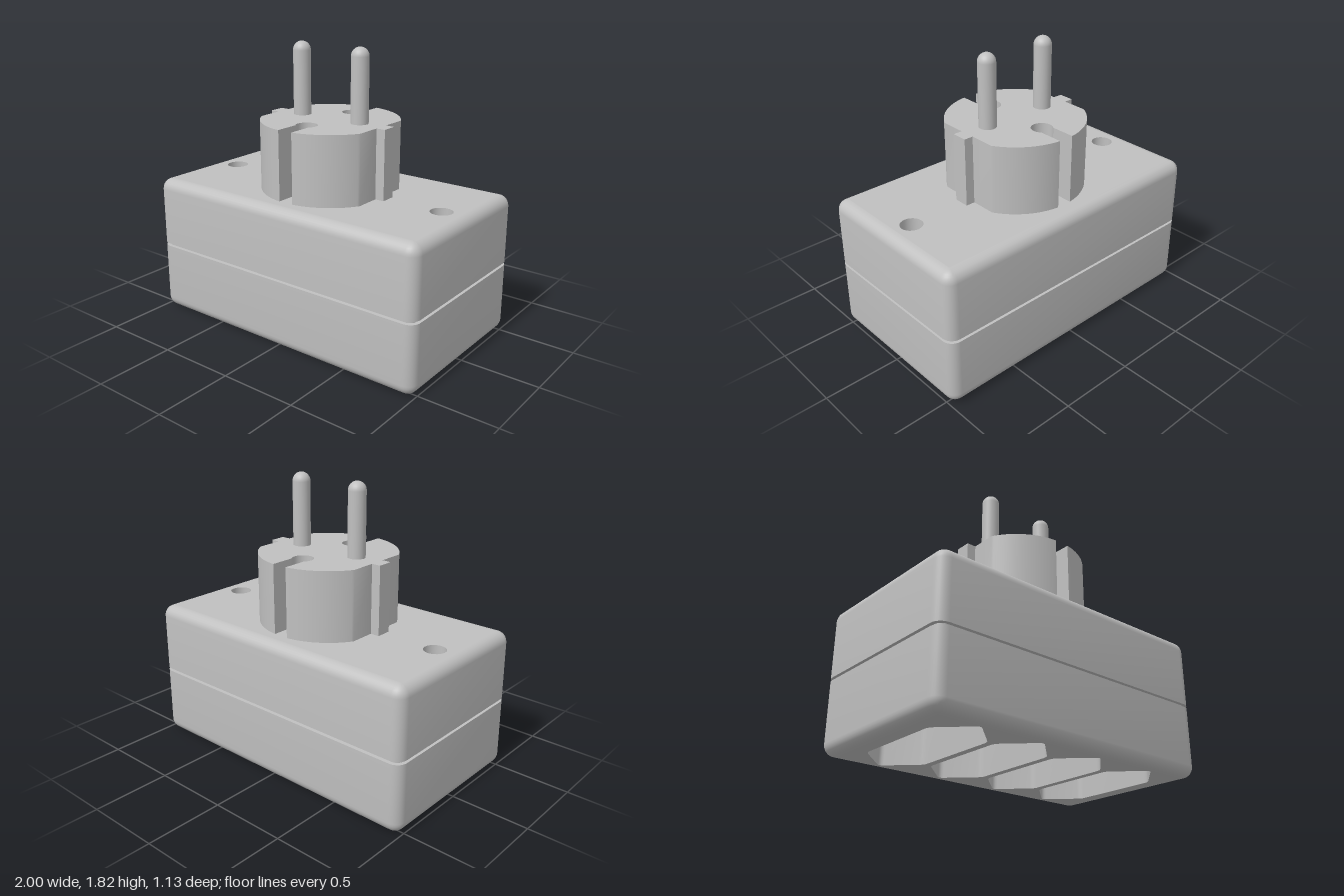
import * as THREE from 'three';
import { toCreasedNormals } from 'three/addons/utils/BufferGeometryUtils.js';

const TOP = 0.912, PLUG_TOP = 1.355, HALF_X = 1, HALF_Z = 0.565, R = 0.07;
const V2 = (x, y) => new THREE.Vector2(x, y);

// Counter-clockwise circle
function circle(cx, cy, r, n = 24) {
  return Array.from({ length: n }, (_, i) => {
    const a = (i / n) * Math.PI * 2;
    return V2(cx + r * Math.cos(a), cy + r * Math.sin(a));
  });
}

// Rounded rectangle of the case, shrunk by an inset
function caseRing(inset) {
  const r = Math.max(R - inset, 0.002), n = 7, pts = [];
  const cx = HALF_X - inset - r, cz = HALF_Z - inset - r;
  [[1, 1], [-1, 1], [-1, -1], [1, -1]].forEach(([sx, sz], q) => {
    for (let i = 0; i <= n; i++) {
      const a = (q + i / n) * Math.PI / 2;
      pts.push(V2(sx * cx + r * Math.cos(a), sz * cz + r * Math.sin(a)));
    }
  });
  return pts;
}

// Polygon whose corners are cut by a small curve
function softPolygon(corners, cut) {
  const pts = [];
  corners.forEach((c, i) => {
    const p = corners[(i + corners.length - 1) % corners.length], n = corners[(i + 1) % corners.length];
    const a = c.clone().add(p.clone().sub(c).setLength(cut));
    const b = c.clone().add(n.clone().sub(c).setLength(cut));
    pts.push(...new THREE.QuadraticBezierCurve(a, c, b).getPoints(4));
  });
  return pts;
}

// Walls through stacked rings: bottom to top faces outward, top to bottom faces inward
function loft(levels) {
  const n = levels[0].ring.length, pos = [], index = [];
  levels.forEach(({ ring, y }) => ring.forEach(p => pos.push(p.x, y, -p.y)));
  for (let l = 0; l < levels.length - 1; l++) {
    for (let i = 0; i < n; i++) {
      const a = l * n + i, b = l * n + (i + 1) % n;
      index.push(a, b, b + n, a, b + n, a + n);
    }
  }
  const g = new THREE.BufferGeometry();
  g.setAttribute('position', new THREE.Float32BufferAttribute(pos, 3));
  g.setIndex(index);
  g.computeVertexNormals();
  return toCreasedNormals(g, 0.6);
}

// Flat horizontal plate with holes, facing up or down
function plate(outline, y, holes = [], down = false) {
  const s = new THREE.Shape(outline);
  s.holes = holes.map(h => new THREE.Path(h));
  const g = new THREE.ShapeGeometry(s);
  g.rotateX(down ? Math.PI / 2 : -Math.PI / 2);
  return g.translate(0, y, 0);
}

// Plug outline: round body, flat sides with keys, and two keyhole slots
function plugOutline() {
  const r = 0.44, flat = 0.385, w = 0.05, slotR = 0.068;
  const a0 = Math.acos(flat / r), a1 = Math.acos(w / r), s = Math.acos(w / slotR);
  const half = new THREE.Path();
  half.moveTo(flat, -w);
  half.lineTo(0.445, -w);
  half.lineTo(0.445, w);
  half.lineTo(flat, w);
  half.absarc(0, 0, r, a0, a1, false);
  half.absarc(0, 0.235, slotR, s, Math.PI - s, true);
  half.absarc(0, 0, r, Math.PI - a1, Math.PI - a0, false);
  const pts = half.getPoints(14);
  return [...pts, ...pts.map(p => V2(-p.x, -p.y))];
}

export function createModel() {
  const model = new THREE.Group();
  const grey = new THREE.MeshStandardMaterial({ color: 0xc0c0c0 });
  grey.name = 'plastic grey';
  const add = (name, geometry, parent = model) => {
    const m = new THREE.Mesh(geometry, grey);
    m.name = name;
    parent.add(m);
    return m;
  };

  // Case sides: rounded bottom edge, parting groove, rounded top edge
  const profile = [], steps = 7;
  for (let i = 0; i <= steps; i++) {
    const a = (i / steps) * Math.PI / 2;
    profile.push([R * (1 - Math.sin(a)), R * (1 - Math.cos(a))]);
  }
  const upper = profile.map(([inset, y]) => [inset, TOP - y]).reverse();
  profile.push([0, 0.45], [0.025, 0.45], [0.025, 0.468], [0, 0.468], ...upper);
  add('caseSides', loft(profile.map(([inset, y]) => ({ ring: caseRing(inset), y }))));

  // Case top with two screw holes
  const screws = [-0.82, 0.82].map(x => circle(x, 0, 0.07));
  add('caseTop', plate(caseRing(R), TOP, screws));
  screws.forEach(ring => {
    add('screwHoleWall', loft([{ ring, y: TOP }, { ring, y: TOP - 0.3 }]));
    add('screwHoleFloor', plate(ring, TOP - 0.3));
  });

  // Case bottom with four six-sided sockets
  const depth = 0.4, pinDepth = 0.6;
  const hexagon = softPolygon([V2(0.195, -0.295), V2(0.195, 0.295), V2(0, 0.485),
    V2(-0.195, 0.295), V2(-0.195, -0.295), V2(0, -0.485)], 0.03);
  const centres = [-1.5, -0.5, 0.5, 1.5].map(k => k * 0.434);
  const sockets = centres.map(x => hexagon.map(p => V2(p.x + x, p.y)));
  add('caseBottom', plate(caseRing(R), 0, sockets, true));
  sockets.forEach((ring, i) => {
    const pinHoles = [-0.225, 0.225].map(z => circle(centres[i], z, 0.058, 16));
    add('socketWall', loft([{ ring, y: depth }, { ring, y: 0 }]));
    add('socketFloor', plate(ring, depth, pinHoles, true));
    pinHoles.forEach(hole => {
      add('pinHoleWall', loft([{ ring: hole, y: pinDepth }, { ring: hole, y: depth }]));
      add('pinHoleEnd', plate(hole, pinDepth, [], true));
    });
  });

  // Plug body
  const outline = plugOutline();
  const plug = new THREE.Group();
  plug.name = 'plug';
  model.add(plug);
  add('plugWall', loft([{ ring: outline, y: TOP }, { ring: outline, y: PLUG_TOP }]), plug);
  add('plugFace', plate(outline, PLUG_TOP), plug);

  // Two round-ended pins
  const pinR = 0.056, pinTop = 1.82;
  const pinProfile = [V2(pinR, PLUG_TOP - 0.01)];
  for (let i = 0; i <= 8; i++) {
    const a = (i / 8) * Math.PI / 2;
    pinProfile.push(V2(i === 8 ? 0 : pinR * Math.cos(a), pinTop - pinR * (1 - Math.sin(a))));
  }
  for (const side of [-1, 1]) {
    add(side > 0 ? 'leftPin' : 'rightPin', new THREE.LatheGeometry(pinProfile, 24), plug)
      .position.x = side * 0.225;
  }
  return model;
}
